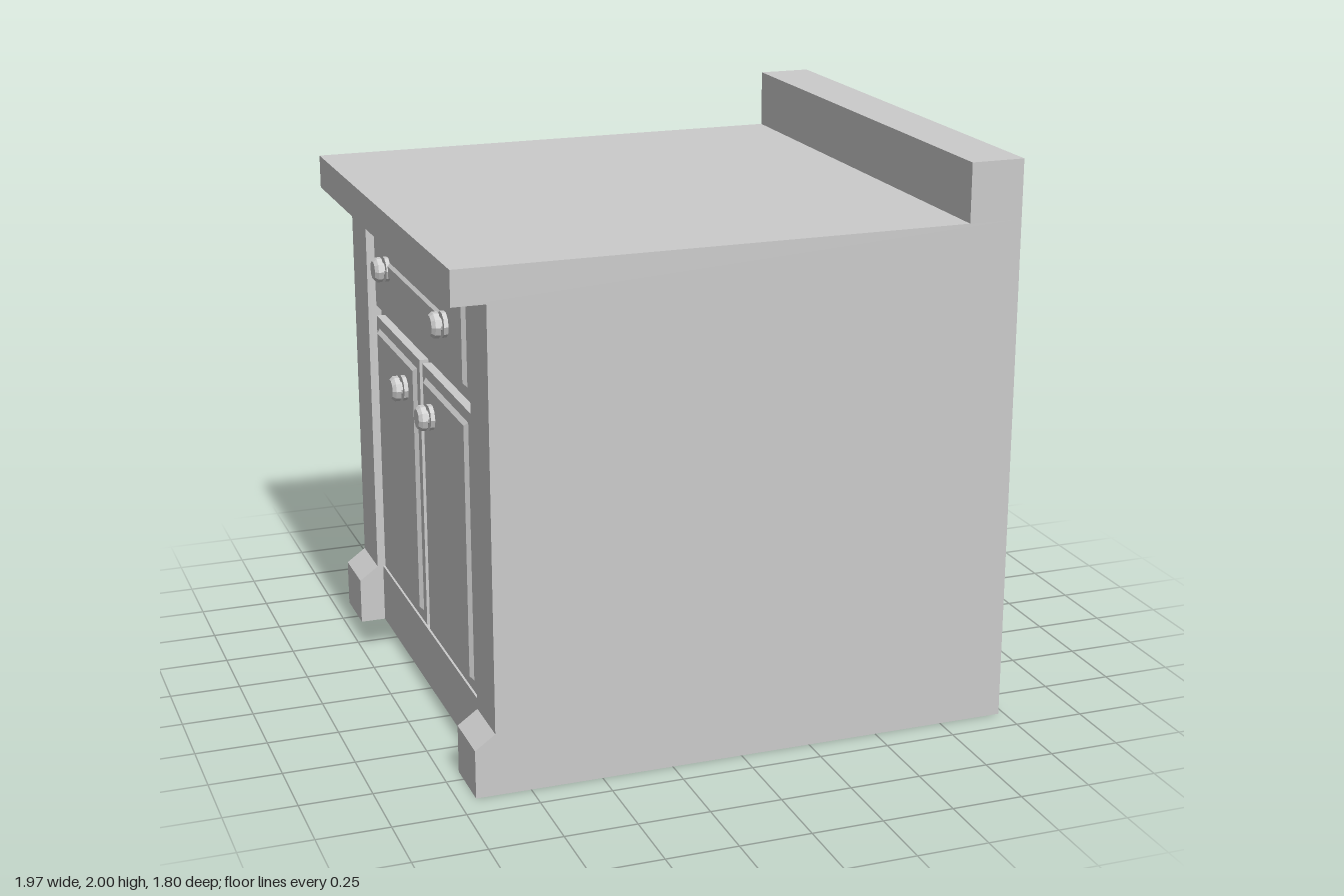
import * as THREE from 'three';

const material = new THREE.MeshStandardMaterial({ color: 0xcccccc, flatShading: true });
const FRONT = -0.82; // x of the carcass face; the doors face -x

function add(parent, name, geometry) {
  const mesh = new THREE.Mesh(geometry, material);
  mesh.name = name;
  parent.add(mesh);
  return mesh;
}

// Box given by its limits on each axis
function box(parent, name, [x0, x1], [y0, y1], [z0, z1]) {
  const mesh = add(parent, name, new THREE.BoxGeometry(x1 - x0, y1 - y0, z1 - z0));
  mesh.position.set((x0 + x1) / 2, (y0 + y1) / 2, (z0 + z1) / 2);
  return mesh;
}

// Slab whose front (-x) face is drawn in by a bevel
function bevelled(parent, name, [x0, x1], y, z, inset) {
  const mesh = box(parent, name, [x0, x1], y, z);
  const p = mesh.geometry.attributes.position;
  for (let i = 0; i < p.count; i++) {
    if (p.getX(i) > 0) continue;
    p.setY(i, p.getY(i) - Math.sign(p.getY(i)) * inset);
    p.setZ(i, p.getZ(i) - Math.sign(p.getZ(i)) * inset);
  }
  mesh.geometry.computeVertexNormals();
  return mesh;
}

// Slab with a thin raised panel on its face
function panelFront(parent, name, [y0, y1], [z0, z1]) {
  const group = new THREE.Group();
  group.name = name;
  box(group, name + 'Slab', [-0.852, FRONT], [y0, y1], [z0, z1]);
  const m = 0.04;
  bevelled(group, name + 'Panel', [-0.865, -0.852], [y0 + m, y1 - m], [z0 + m, z1 - m], 0.013);
  parent.add(group);
}

// Turned knob: base disc, neck, faceted head
function knob(parent, name, y, z) {
  const profile = [[0, 0], [0.045, 0], [0.045, 0.018], [0.024, 0.018], [0.024, 0.028],
    [0.045, 0.028], [0.045, 0.046], [0.034, 0.058], [0, 0.058]];
  const geometry = new THREE.LatheGeometry(profile.map(([r, h]) => new THREE.Vector2(r, h)), 10);
  geometry.rotateZ(Math.PI / 2);
  add(parent, name, geometry).position.set(-0.862, y, z);
}

export function createModel() {
  const cabinet = new THREE.Group();
  cabinet.name = 'cabinet';

  // Carcass, worktop and upstand
  box(cabinet, 'carcass', [FRONT, 0.98], [0, 1.675], [-0.9, 0.9]);
  box(cabinet, 'worktop', [-0.985, 0.98], [1.675, 1.795], [-0.9, 0.9]);
  box(cabinet, 'upstand', [0.79, 0.98], [1.795, 2], [-0.9, 0.9]);
  box(cabinet, 'bottomRail', [-0.848, FRONT], [0, 0.22], [-0.69, 0.69]);

  // Corner posts with sloped feet
  const post = new THREE.Shape([[FRONT, 0], [FRONT, 1.675], [-0.87, 1.675], [-0.87, 0.22],
    [-0.94, 0.17], [-0.94, 0]].map(([x, y]) => new THREE.Vector2(x, y)));
  for (const z of [-0.9, 0.69]) {
    add(cabinet, 'cornerPost', new THREE.ExtrudeGeometry(post, { depth: 0.21, bevelEnabled: false }))
      .position.z = z;
  }

  // Drawer with a narrow raised bar between two knobs
  panelFront(cabinet, 'drawer', [1.275, 1.67], [-0.635, 0.635]);
  bevelled(cabinet, 'drawerBar', [-0.875, -0.865], [1.445, 1.505], [-0.38, 0.38], 0.01);

  // Pair of doors and all knobs
  for (const s of [-1, 1]) {
    panelFront(cabinet, 'door', [0.24, 1.235], s < 0 ? [-0.635, -0.02] : [0.02, 0.635]);
    knob(cabinet, 'doorKnob', 1.09, s * 0.18);
    knob(cabinet, 'drawerKnob', 1.475, s * 0.385);
  }
  return cabinet;
}
